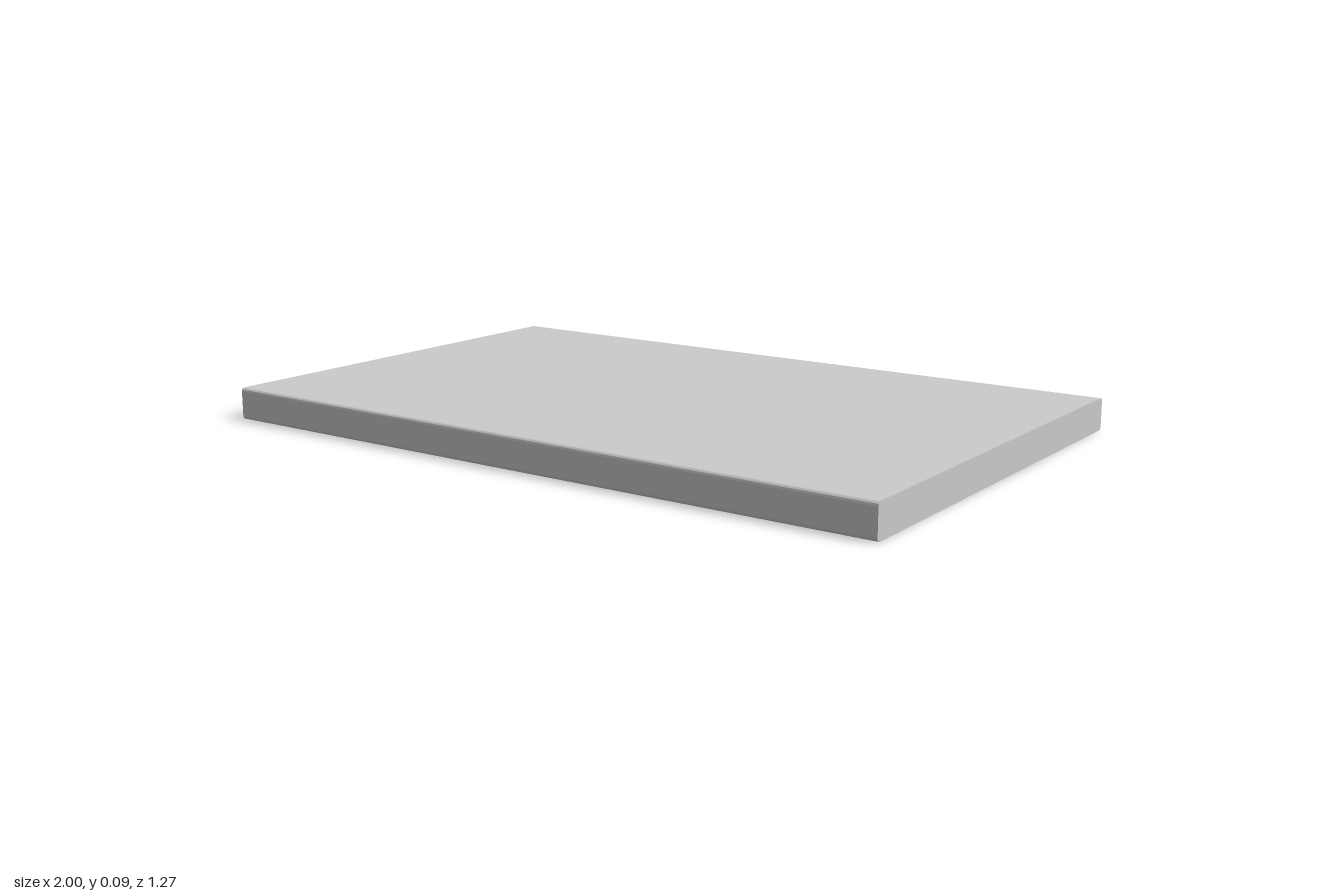
import * as THREE from 'three';

const HX = 1, HZ = 0.635, H = 0.09, R = 0.01;

// Corners of a horizontal rectangle given as [half width, half depth, height]
const corners = ([x, z, y]) => [[x, y, z], [x, y, -z], [-x, y, -z], [-x, y, z]];

// Faceted skin over a series of rectangles, running from top, outside, to underneath
function skin(name, rings, { capStart = false, capEnd = false } = {}) {
  const pos = [];
  const quad = (a, b, c, d) => pos.push(...a, ...b, ...c, ...a, ...c, ...d);
  const loops = rings.map(corners);
  for (let i = 0; i + 1 < loops.length; i++) {
    const A = loops[i], B = loops[i + 1];
    for (let k = 0; k < 4; k++) {
      const n = (k + 1) % 4;
      quad(A[k], B[k], B[n], A[n]);
    }
  }
  if (capStart) quad(...loops[0]);
  if (capEnd) quad(...[...loops[loops.length - 1]].reverse());
  const geo = new THREE.BufferGeometry();
  geo.setAttribute('position', new THREE.Float32BufferAttribute(pos, 3));
  geo.computeVertexNormals();
  const mesh = new THREE.Mesh(geo, new THREE.MeshStandardMaterial({ color: 0xcccccc, flatShading: true }));
  mesh.name = name;
  return mesh;
}

export function createModel() {
  const group = new THREE.Group();
  group.name = 'panelDoor';

  // Slab with softened long edges and square ends
  const outer = [];
  const STEPS = 3;
  for (const [cy, start] of [[H - R, Math.PI / 2], [R, 0]]) {
    for (let i = 0; i <= STEPS; i++) {
      const a = start - (i / STEPS) * Math.PI / 2;
      outer.push([HX, HZ - R + R * Math.cos(a), cy + R * Math.sin(a)]);
    }
  }
  group.add(skin('slab', outer, { capStart: true }));

  // Flat border on the underside
  const LEDGE = 0.008, LX = 0.81, LZ = 0.455;
  group.add(skin('border', [[HX, HZ - R, 0], [LX, LZ, 0]]));

  // Shallow step inside the border
  const PX = 0.56, PZ = 0.43;
  group.add(skin('step', [[LX, LZ, 0], [LX, LZ, LEDGE], [PX, PZ, LEDGE]]));

  // Sunken centre panel with sloping sides
  group.add(skin('sunkenPanel', [[PX, PZ, LEDGE], [PX - 0.043, PZ - 0.043, LEDGE + 0.032]], { capEnd: true }));

  return group;
}
